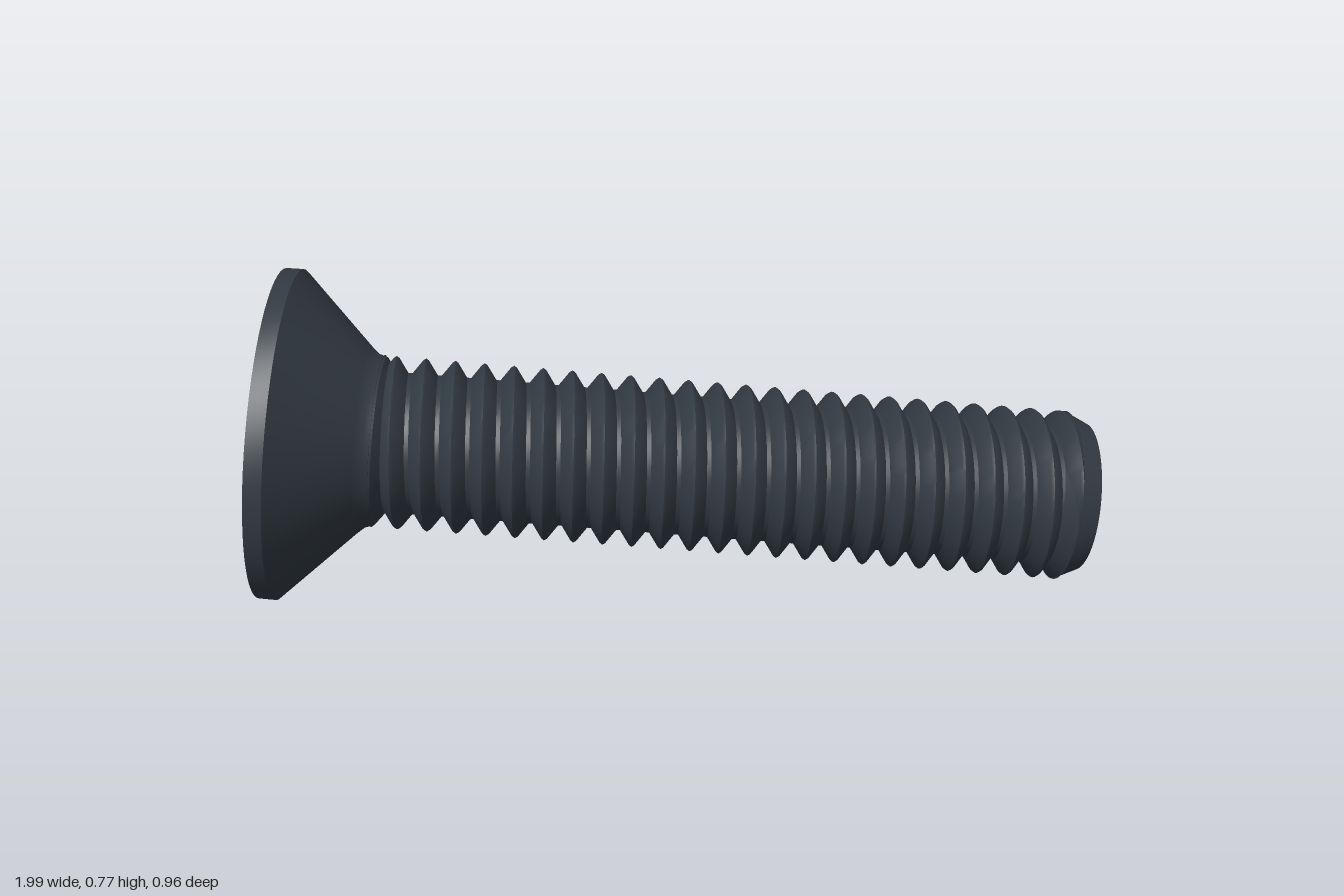
import * as THREE from 'three';
import { toCreasedNormals } from 'three/addons/utils/BufferGeometryUtils.js';

const PITCH = 0.0687, CREST = 0.2, ROOT = 0.165;
const CREST_AT = 0.271; // a thread crest on the upper side
const SEG = 64;

const steel = new THREE.MeshStandardMaterial({ color: 0x323a42, side: THREE.DoubleSide });
steel.name = 'dark steel';

function part(name, geometry) {
  const mesh = new THREE.Mesh(geometry, steel);
  mesh.name = name;
  return mesh;
}

// Revolved part; points are [radius, distance from the head face]
function turned(name, points) {
  const geo = new THREE.LatheGeometry(points.map(p => new THREE.Vector2(...p)), SEG);
  return part(name, toCreasedNormals(geo, 0.5));
}

function surface(positions, index) {
  const geo = new THREE.BufferGeometry();
  geo.setAttribute('position', new THREE.Float32BufferAttribute(positions, 3));
  geo.setIndex(index);
  return geo;
}

// Right-handed helical thread, swept from a one-pitch profile
function thread(start, end) {
  const profile = [[-0.43, ROOT], [-0.09, CREST - 0.002], [0, CREST + 0.002], [0.09, CREST - 0.002], [0.43, ROOT]];
  const first = Math.floor((start - CREST_AT) / PITCH) - 1;
  const last = Math.ceil((end - CREST_AT) / PITCH) + 1;
  const pos = [], index = [];
  let rows = 0;
  for (let k = first; k <= last; k++) {
    for (const [offset, r] of profile) {
      for (let j = 0; j <= SEG; j++) {
        const turn = j / SEG, a = turn * Math.PI * 2;
        const t = THREE.MathUtils.clamp(CREST_AT + (k + offset + turn) * PITCH, start, end);
        pos.push(r * Math.cos(a), t, -r * Math.sin(a));
      }
      rows++;
    }
  }
  for (let i = 0; i < rows - 1; i++) {
    for (let j = 0; j < SEG; j++) {
      const a = i * (SEG + 1) + j, c = a + SEG + 1;
      index.push(a, a + 1, c, a + 1, c + 1, c);
    }
  }
  return part('thread', toCreasedNormals(surface(pos, index), 0.6));
}

// Twelve corners of a cross with the given arm length and half width
function cross(length, half) {
  const points = [];
  for (let q = 0; q < 4; q++) {
    for (const [x, y] of [[length, -half], [length, half], [half, half]]) {
      points.push(new THREE.Vector2(x, y).rotateAround(new THREE.Vector2(), q * Math.PI / 2));
    }
  }
  return points;
}

// Flat head face with the cross cut out
function headFace(radius, outline) {
  const shape = new THREE.Shape().absarc(0, 0, radius, 0, Math.PI * 2);
  shape.holes.push(new THREE.Path(outline));
  return part('headFace', new THREE.ShapeGeometry(shape, SEG / 2).rotateX(Math.PI / 2));
}

// Tapered driver recess: walls between two crosses, closed by a shallow point
function recess(outline, floor, depth) {
  const pos = [], index = [], n = outline.length;
  outline.forEach(p => pos.push(p.x, 0, p.y));
  floor.forEach(p => pos.push(p.x, depth, p.y));
  pos.push(0, depth + 0.02, 0);
  for (let i = 0; i < n; i++) {
    const j = (i + 1) % n;
    index.push(i, j, n + i, j, n + j, n + i, 2 * n, n + i, n + j);
  }
  const geo = surface(pos, index).toNonIndexed();
  geo.computeVertexNormals();
  return part('driverRecess', geo);
}

export function createModel() {
  const model = new THREE.Group();
  model.name = 'countersunkScrew';

  // Head with its recess
  const head = new THREE.Group();
  head.name = 'head';
  const outline = cross(0.17, 0.048);
  head.add(
    headFace(0.385, outline),
    recess(outline, cross(0.075, 0.04), 0.14),
    turned('headCone', [[0.385, 0], [0.386, 0.04], [0.22, 0.207], [0.204, 0.225],
      [0.198, 0.245], [ROOT, 0.27]])
  );
  head.rotation.y = -0.1;

  // Shank and chamfered tip
  const tip = turned('tip', [[ROOT, 1.83], [0.199, 1.862], [0.176, 1.912], [0, 1.912]]);
  const screw = new THREE.Group();
  screw.name = 'screw';
  screw.add(head, thread(0.24, 1.862), tip);

  // Lay the screw along its tilted axis
  const axis = new THREE.Vector3(1, -0.1, 0.215).normalize();
  const up = new THREE.Vector3(0, 1, 0).addScaledVector(axis, -axis.y).normalize();
  const side = new THREE.Vector3().crossVectors(up, axis);
  screw.quaternion.setFromRotationMatrix(new THREE.Matrix4().makeBasis(up, axis, side));
  screw.position.set(-0.91, 0.387, -0.104);
  model.add(screw);
  return model;
}
